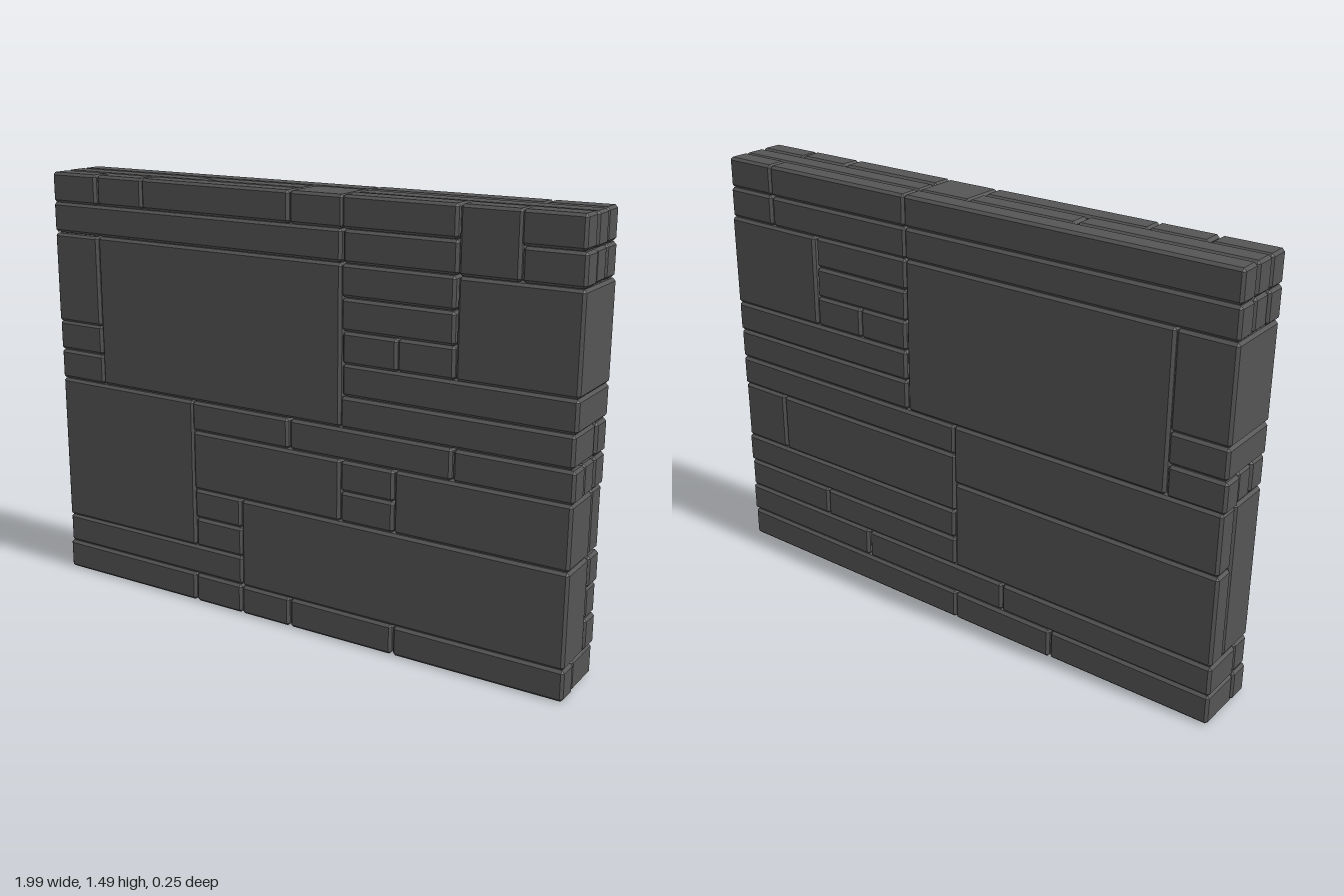
import * as THREE from 'three';
import { ConvexGeometry } from 'three/addons/geometries/ConvexGeometry.js';

// Masonry grid: 10 columns, 14 courses, 3 layers deep
const DX = 0.1985, DY = 0.1065, DZ = 0.081;
const LEFT = -5 * DX, BOTTOM = 0.007, FACE = 1.5 * DZ;
const GAP = 0.0015, BEVEL = 0.009;

// Box with flat chamfered edges and corners
function chamferedBox(w, h, d) {
  const points = [], half = [w / 2, h / 2, d / 2];
  for (const sx of [-1, 1]) for (const sy of [-1, 1]) for (const sz of [-1, 1])
    for (let full = 0; full < 3; full++) {
      const c = half.map((v, k) => (k === full ? v : v - BEVEL));
      points.push(new THREE.Vector3(c[0] * sx, c[1] * sy, c[2] * sz));
    }
  return new ConvexGeometry(points);
}

export function createModel() {
  const wall = new THREE.Group();
  wall.name = 'stoneWall';
  const material = new THREE.MeshStandardMaterial({ color: 0x555555 });

  // Small repeatable offsets for a hand-laid look
  let seed = 7;
  const jitter = (amount) => {
    seed = (seed * 16807) % 2147483647;
    return (seed / 2147483647 - 0.5) * 2 * amount;
  };

  // Lays stones between successive column joints and successive course joints
  const lay = (name, layer, depth, columns, courses) => {
    for (let c = 1; c < columns.length; c++) for (let r = 1; r < courses.length; r++) {
      const x0 = columns[c - 1], x1 = columns[c], y0 = courses[r - 1], y1 = courses[r];
      const stone = new THREE.Mesh(
        chamferedBox((x1 - x0) * DX - GAP, (y1 - y0) * DY - GAP, depth * DZ - GAP), material);
      stone.name = name;
      stone.position.set(
        LEFT + ((x0 + x1) / 2) * DX + jitter(0.004),
        BOTTOM + ((y0 + y1) / 2) * DY + jitter(0.001),
        FACE - (layer + depth / 2) * DZ + jitter(0.002));
      wall.add(stone);
    }
  };
  const front = (columns, courses, depth = 1) => lay('frontStone', 0, depth, columns, courses);
  const middle = (columns, courses) => lay('middleStone', 1, 1, columns, courses);
  const back = (columns, courses, depth = 1) => lay('backStone', 3 - depth, depth, columns, courses);
  const through = (columns, courses) => lay('throughStone', 0, 3, columns, courses);

  // Front, bottom courses
  front([0, 3, 4, 5, 7, 10], [0, 1]);
  front([0, 4], [1, 2]);
  front([4, 10], [1, 4], 2);
  // Front, lower middle
  front([0, 3], [2, 7], 2);
  front([3, 4], [2, 3, 4]);
  front([3, 6], [4, 6]);
  front([6, 7], [4, 5, 6]);
  front([7, 10], [4, 6], 2);
  front([3, 5, 8, 10], [6, 7]);

  // Back, bottom courses
  back([0, 3, 5, 10], [0, 1], 2);
  back([0, 4], [1, 2], 2);
  back([4, 7, 10], [1, 2]);
  // Back, lower middle
  back([0, 5], [2, 5, 7]);
  back([5, 8, 10], [2, 3]);
  back([5, 10], [3, 4]);
  back([5, 9, 10], [4, 6]);
  back([5, 10], [6, 7]);
  middle([5, 10], [6, 7]);

  // Course of separate stones either side of the large slab
  for (const side of [front, middle, back]) side([0, 1], [7, 8]);
  front([6, 10], [7, 8], 2);
  back([6, 10], [7, 8]);

  // Upper middle, stones running through the whole wall
  through([1, 6], [7, 12]);
  through([0, 1], [8, 9, 12]);
  through([6, 10], [8, 9]);
  through([6, 7, 8], [9, 10]);
  through([6, 8], [10, 11, 12]);
  through([8, 10], [9, 12]);

  // Top courses
  front([0, 6, 8], [12, 13]);
  front([8, 9], [12, 14]);
  front([9, 10], [12, 13, 14]);
  front([0, 1, 2, 5], [13, 14]);
  front([5, 6], [13, 14], 2);
  front([6, 8], [13, 14]);
  middle([0, 6, 10], [12, 13]);
  middle([0, 3, 5], [13, 14]);
  middle([6, 10], [13, 14]);
  back([0, 6, 9, 10], [12, 13, 14]);
  return wall;
}
